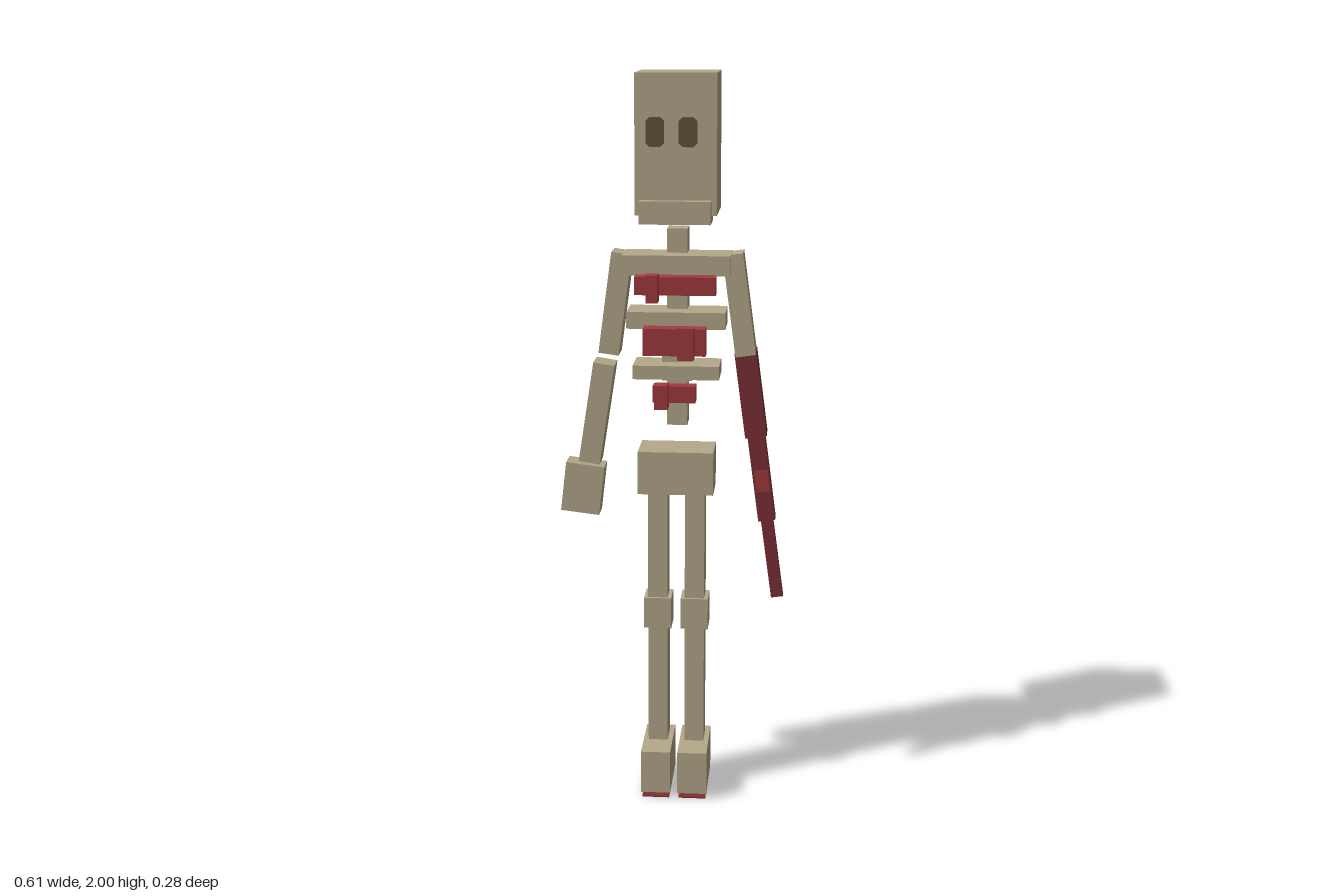
import * as THREE from 'three';

const mat = (name, color) => {
  const m = new THREE.MeshStandardMaterial({ color });
  m.name = name;
  return m;
};

export function createModel() {
  const bone = mat('bone', 0xb5a98a);
  const red = mat('red', 0xa33b3e);
  const darkRed = mat('dark red', 0x7d3035);
  const socket = mat('eye socket brown', 0x66523c);
  const root = new THREE.Group();
  root.name = 'skeleton';

  const add = (name, geometry, material) => {
    const mesh = new THREE.Mesh(geometry, material);
    mesh.name = name;
    root.add(mesh);
    return mesh;
  };
  // Box given by its limits along each axis
  const box = (name, [x0, x1], [y0, y1], [z0, z1], material = bone) => {
    const mesh = add(name, new THREE.BoxGeometry(x1 - x0, y1 - y0, z1 - z0), material);
    mesh.position.set((x0 + x1) / 2, (y0 + y1) / 2, (z0 + z1) / 2);
    return mesh;
  };
  // Slanted limb box running from a top point to a bottom point
  const limb = (name, [xt, yt], [xb, yb], width, [z0, z1], material = bone) => {
    const length = Math.hypot(xt - xb, yt - yb);
    const mesh = add(name, new THREE.BoxGeometry(width, length, z1 - z0), material);
    mesh.position.set((xt + xb) / 2, (yt + yb) / 2, (z0 + z1) / 2);
    mesh.rotation.z = Math.atan2(xb - xt, yt - yb);
    return mesh;
  };

  // Head and jaw
  box('head', [-0.096, 0.118], [1.635, 2], [-0.142, 0.065]);
  box('jaw', [-0.083, 0.104], [1.615, 1.675], [-0.024, 0.094]);

  // Eye sockets with clipped corners
  for (const [name, x] of [['rightEye', -0.043], ['leftEye', 0.043]]) {
    const w = 0.024, h = 0.038, c = 0.01;
    const shape = new THREE.Shape([
      [-w + c, -h], [w - c, -h], [w, -h + c], [w, h - c],
      [w - c, h], [-w + c, h], [-w, h - c], [-w, -h + c],
    ].map(p => new THREE.Vector2(...p)));
    const eye = add(name, new THREE.ExtrudeGeometry(shape, { depth: 0.004, bevelEnabled: false }), socket);
    eye.position.set(x, 1.85, 0.064);
  }

  // Spine, shoulder bar and ribs
  box('spine', [-0.018, 0.037], [1.057, 1.592], [-0.084, -0.012]);
  box('vertebra', [-0.031, 0.05], [1.18, 1.257], [-0.085, -0.01]);
  box('shoulders', [-0.133, 0.154], [1.475, 1.528], [-0.074, 0.048]);
  box('middleRib', [-0.122, 0.142], [1.332, 1.377], [-0.07, 0.048]);
  box('lowerRib', [-0.106, 0.126], [1.195, 1.232], [-0.07, 0.048]);

  // Red chest bands, each with a raised block
  const bands = [
    [[-0.096, 0.118], [1.43, 1.478], [0.046, 0.094], [-0.063, -0.031], [1.415, 1.487], 0.13],
    [[-0.073, 0.093], [1.271, 1.343], [0.058, 0.107], [0.02, 0.064], [1.266, 1.351], 0.14],
    [[-0.048, 0.066], [1.142, 1.187], [0.055, 0.094], [-0.041, -0.005], [1.131, 1.196], 0.13],
  ];
  for (const [x, y, z, bx, by, front] of bands) {
    box('chestBand', x, y, z, red);
    box('chestBlock', bx, by, [z[1] - 0.004, front], red);
  }

  // Upper arms mirrored about the spine
  for (const [name, s] of [['rightUpperArm', -1], ['leftUpperArm', 1]]) {
    limb(name, [0.01 + s * 0.148, 1.527], [0.01 + s * 0.185, 1.254], 0.055, [-0.074, 0.007]);
  }

  // Right forearm and hand
  limb('rightForearm', [-0.188, 1.226], [-0.231, 0.95], 0.058, [-0.074, 0.007]);
  limb('rightHand', [-0.24, 0.948], [-0.256, 0.812], 0.106, [-0.048, 0.022]);

  // Left forearm tapering in three steps
  limb('leftForearm', [0.194, 1.262], [0.225, 1.03], 0.059, [-0.071, 0.004], darkRed);
  limb('leftForearmMiddle', [0.225, 1.03], [0.257, 0.792], 0.047, [-0.058, -0.006], darkRed);
  limb('leftForearmTip', [0.257, 0.792], [0.288, 0.568], 0.033, [-0.05, -0.017], darkRed);
  limb('forearmPatch', [0.239, 0.935], [0.246, 0.875], 0.036, [-0.007, -0.004], red);

  // Pelvis, legs, knees, feet
  box('pelvis', [-0.095, 0.111], [0.871, 0.99], [-0.1, 0.033]);
  for (const [side, x] of [['right', -0.043], ['left', 0.059]]) {
    const span = w => [x - w / 2, x + w / 2];
    box(side + 'Leg', span(0.054), [0.13, 0.875], [-0.074, 0.003]);
    box(side + 'Knee', span(0.076), [0.477, 0.565], [-0.068, 0.011]);
    box(side + 'Foot', span(0.082), [0.016, 0.138], [-0.104, 0.092]);
    box(side + 'Sole', span(0.076), [0, 0.003], [-0.098, 0.088], darkRed);
  }
  return root;
}
